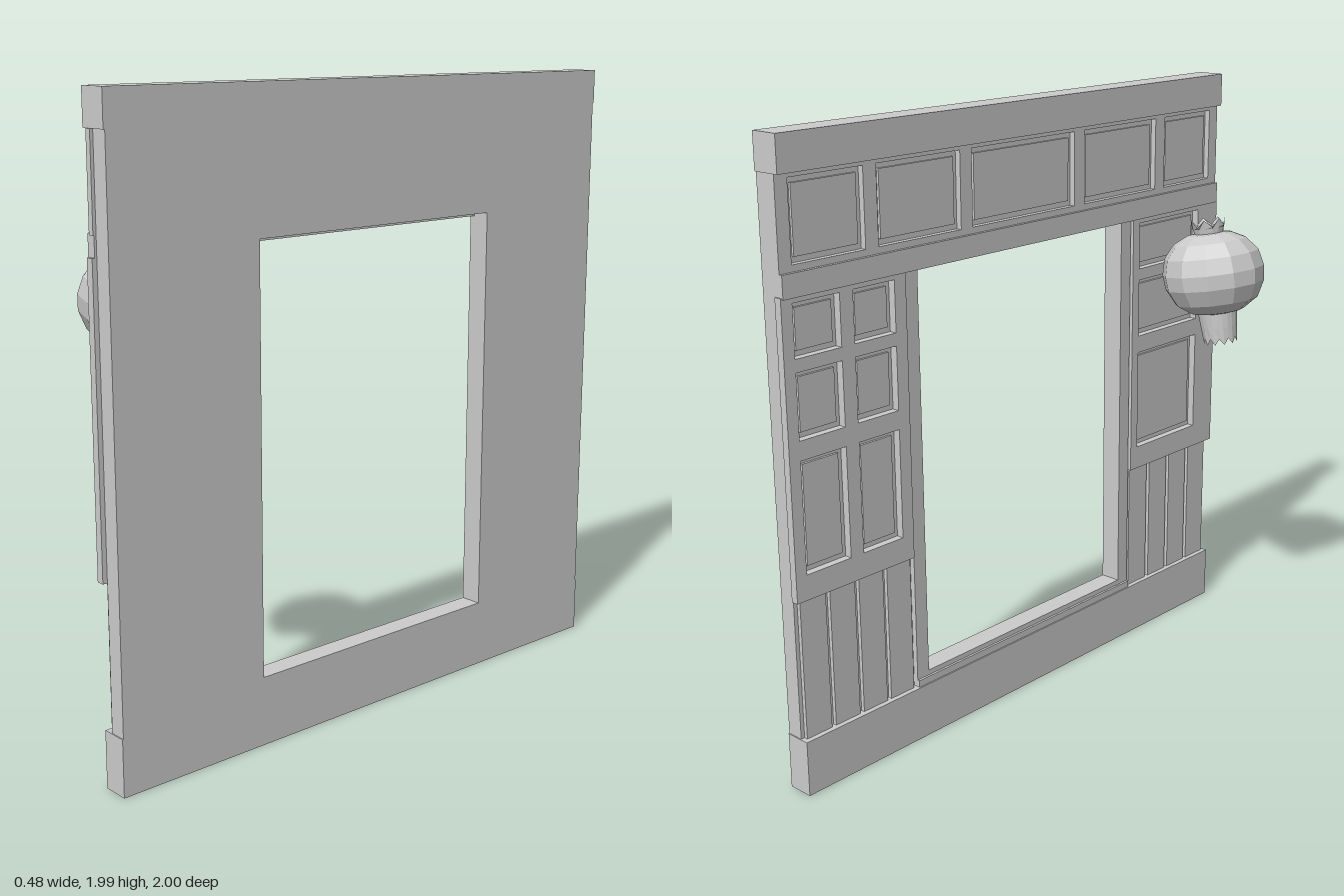
import * as THREE from 'three';

const material = new THREE.MeshStandardMaterial({ color: 0xcccccc, flatShading: true, side: THREE.DoubleSide });
const BACK = 0.24, CORE = 0.185;

export function createModel() {
  const root = new THREE.Group();
  const wall = new THREE.Group();
  wall.name = 'wall';
  root.add(wall);

  const add = (parent, name, geometry) => {
    const mesh = new THREE.Mesh(geometry, material);
    mesh.name = name;
    parent.add(mesh);
    return mesh;
  };
  const rect = (target, [z0, z1, y0, y1]) => {
    target.moveTo(z0, y0);
    target.lineTo(z1, y0);
    target.lineTo(z1, y1);
    target.lineTo(z0, y1);
    target.closePath();
    return target;
  };
  // upright slab in the zy plane between two x positions, with rectangular holes
  const slab = (name, x0, x1, outer, holes = []) => {
    const shape = rect(new THREE.Shape(), outer);
    holes.forEach(h => shape.holes.push(rect(new THREE.Path(), h)));
    const g = new THREE.ExtrudeGeometry(shape, { depth: x1 - x0, bevelEnabled: false });
    g.rotateY(-Math.PI / 2);
    g.translate(x1, 0, 0);
    return add(wall, name, g);
  };
  // frame whose openings hold slightly inset panels
  const panelled = (name, x0, outer, openings) => {
    slab(name + 'Frame', x0, CORE, outer, openings);
    openings.forEach(([z0, z1, y0, y1]) =>
      slab(name + 'Panel', 0.177, CORE, [z0 + 0.018, z1 - 0.018, y0 + 0.018, y1 - 0.018]));
  };

  // plaster core with the window opening, base and head beams
  slab('wallCore', CORE, BACK, [-0.995, 0.985, 0.1, 1.9], [[-0.48, 0.47, 0.22, 1.55]]);
  slab('baseBeam', 0.155, BACK, [-0.998, 0.988, 0, 0.18]);
  slab('headBeam', 0.145, BACK, [-1, 0.99, 1.88, 1.99]);

  // upper band of panels between posts, above the transom
  const posts = [-0.975, -0.655, -0.27, 0.25, 0.67, 0.975];
  const bays = posts.slice(1).map((z, i) => [posts[i] + 0.025, z - 0.025, 1.625, 1.865]);
  panelled('upperBand', 0.166, [-0.995, 0.995, 1.6, 1.88], bays);
  slab('transom', 0.155, CORE, [-0.995, 0.992, 1.535, 1.605]);

  // window trim
  slab('windowTrim', 0.168, CORE, [-0.53, 0.52, 0.18, 1.545], [[-0.48, 0.47, 0.22, 1.535]]);
  slab('windowSill', 0.16, CORE, [-0.53, 0.52, 0.18, 0.203]);

  // panelled shutters: two columns on one side, one wide column on the other
  const rows = [[0.71, 1.06], [1.12, 1.32], [1.36, 1.52]];
  const grid = columns => columns.flatMap(c => rows.map(r => [...c, ...r]));
  panelled('backShutter', 0.16, [-1, -0.535, 0.63, 1.54], grid([[-0.96, -0.79], [-0.74, -0.58]]));
  panelled('frontShutter', 0.16, [0.525, 1, 0.63, 1.54], grid([[0.56, 0.89]]));

  // upright boards under the shutters
  for (const [z0, z1] of [[-0.99, -0.535], [0.525, 0.985]]) {
    const w = (z1 - z0) / 4;
    for (let i = 0; i < 4; i++) {
      slab('lowerBoard', 0.172, CORE, [z0 + i * w + 0.008, z0 + (i + 1) * w - 0.008, 0.18, 0.63]);
    }
  }

  // tilted round lantern
  const lantern = new THREE.Group();
  lantern.name = 'lantern';
  lantern.position.set(-0.067, 1.36, 0.68);
  lantern.rotation.z = -0.17;
  root.add(lantern);
  const profile = [[0.05, -0.138], [0.09, -0.13], [0.142, -0.095], [0.17, -0.04], [0.175, 0.01],
    [0.162, 0.065], [0.125, 0.11], [0.075, 0.135], [0.045, 0.138], [0, 0.125]];
  add(lantern, 'lanternBody', new THREE.LatheGeometry(profile.map(p => new THREE.Vector2(...p)), 12));

  // open collar with a toothed rim
  const collar = (name, rBase, rRim, yBase, yRim, teeth, tooth) => {
    const g = new THREE.CylinderGeometry(rRim, rBase, 1, teeth * 2, 2, true);
    const p = g.attributes.position, columns = teeth * 2 + 1;
    for (let i = 0; i < p.count; i++) {
      const t = p.getY(i) + 0.5;
      const cut = t > 0.9 && (i % columns) % 2 ? tooth : 0;
      p.setY(i, yBase + (yRim - yBase) * t * (1 - cut));
    }
    g.computeVertexNormals();
    add(lantern, name, g);
  };
  collar('topCrown', 0.046, 0.06, 0.125, 0.185, 7, 0.4);
  collar('bottomSkirt', 0.068, 0.057, -0.125, -0.243, 11, 0.18);

  return root;
}
